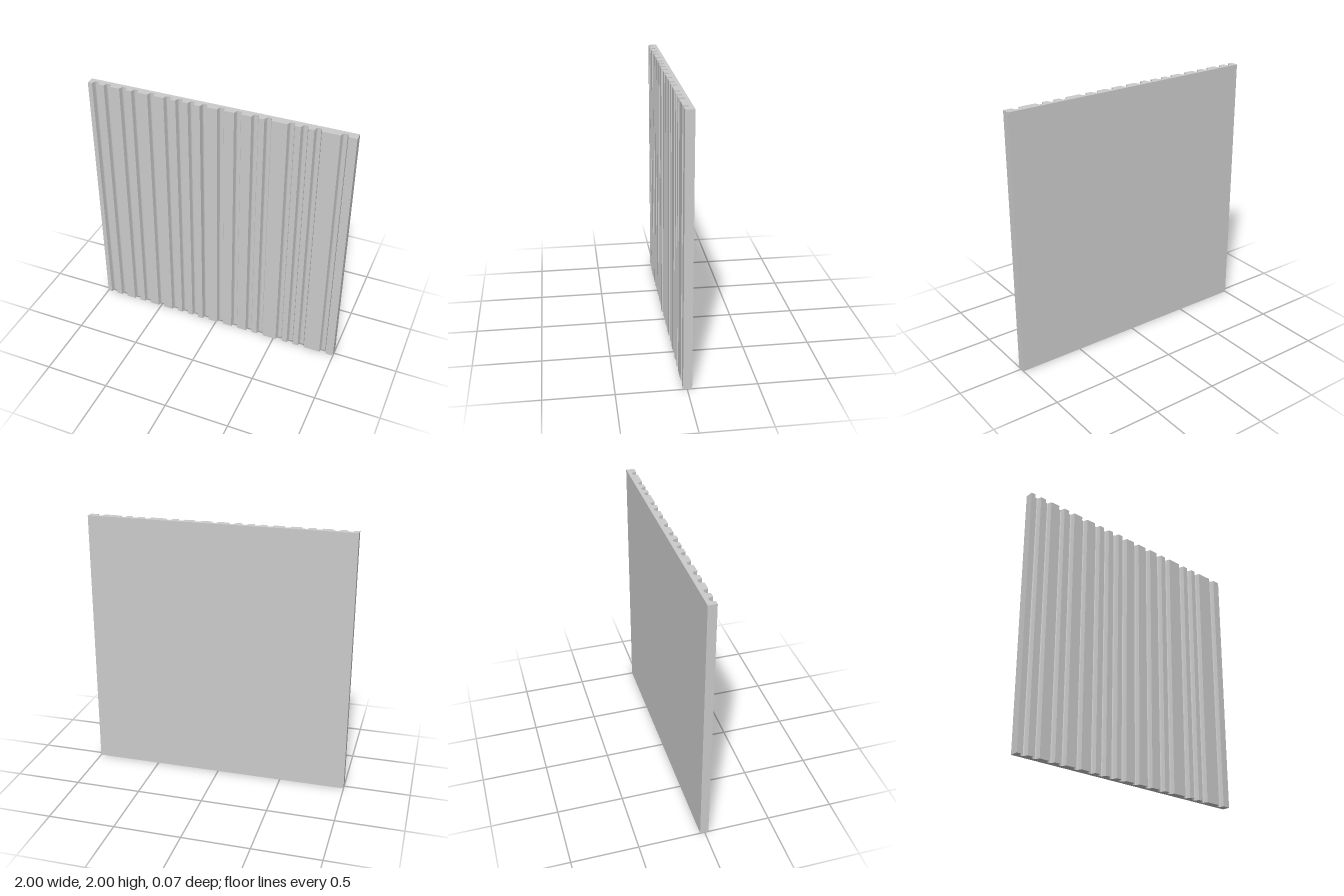
import * as THREE from 'three';

// Groove centre positions across the panel, left to right
const GROOVES = [-0.94, -0.845, -0.72, -0.625, -0.498, -0.372, -0.28, -0.186, -0.092,
  0.035, 0.161, 0.287, 0.381, 0.546, 0.64, 0.733, 0.913];
// Half groove section, mouth to floor: [half width, z]
const SECTION = [[0.026, 0], [0.019, -0.024], [0.016, -0.031], [0.011, -0.035]];
const BACK = -0.035, FACE = 0.029, PROUD = 0.035;

export function createModel() {
  const group = new THREE.Group();
  group.name = 'groovedPanel';

  // Plan section of the panel, drawn with shape y = z of the model
  const shape = new THREE.Shape();
  shape.moveTo(1, BACK);
  shape.lineTo(1, FACE);
  for (let i = GROOVES.length - 1; i >= 0; i--) {
    const c = GROOVES[i];
    // The rib between grooves 7 and 8 stands slightly proud
    const right = i === 7 ? PROUD : FACE, left = i === 8 ? PROUD : FACE;
    SECTION.forEach(([w, d], k) => shape.lineTo(c + w, k ? FACE + d : right));
    [...SECTION].reverse().forEach(([w, d], k) =>
      shape.lineTo(c - w, k < SECTION.length - 1 ? FACE + d : left));
  }
  shape.lineTo(-1, FACE);
  shape.lineTo(-1, BACK);
  shape.closePath();

  // Extrude the section upwards over the full height
  const geometry = new THREE.ExtrudeGeometry(shape, { depth: 2, bevelEnabled: false });
  geometry.rotateX(Math.PI / 2).translate(0, 2, 0);

  const panel = new THREE.Mesh(geometry,
    new THREE.MeshStandardMaterial({ color: 0xcccccc, flatShading: true }));
  panel.name = 'panel';
  group.add(panel);
  return group;
}
